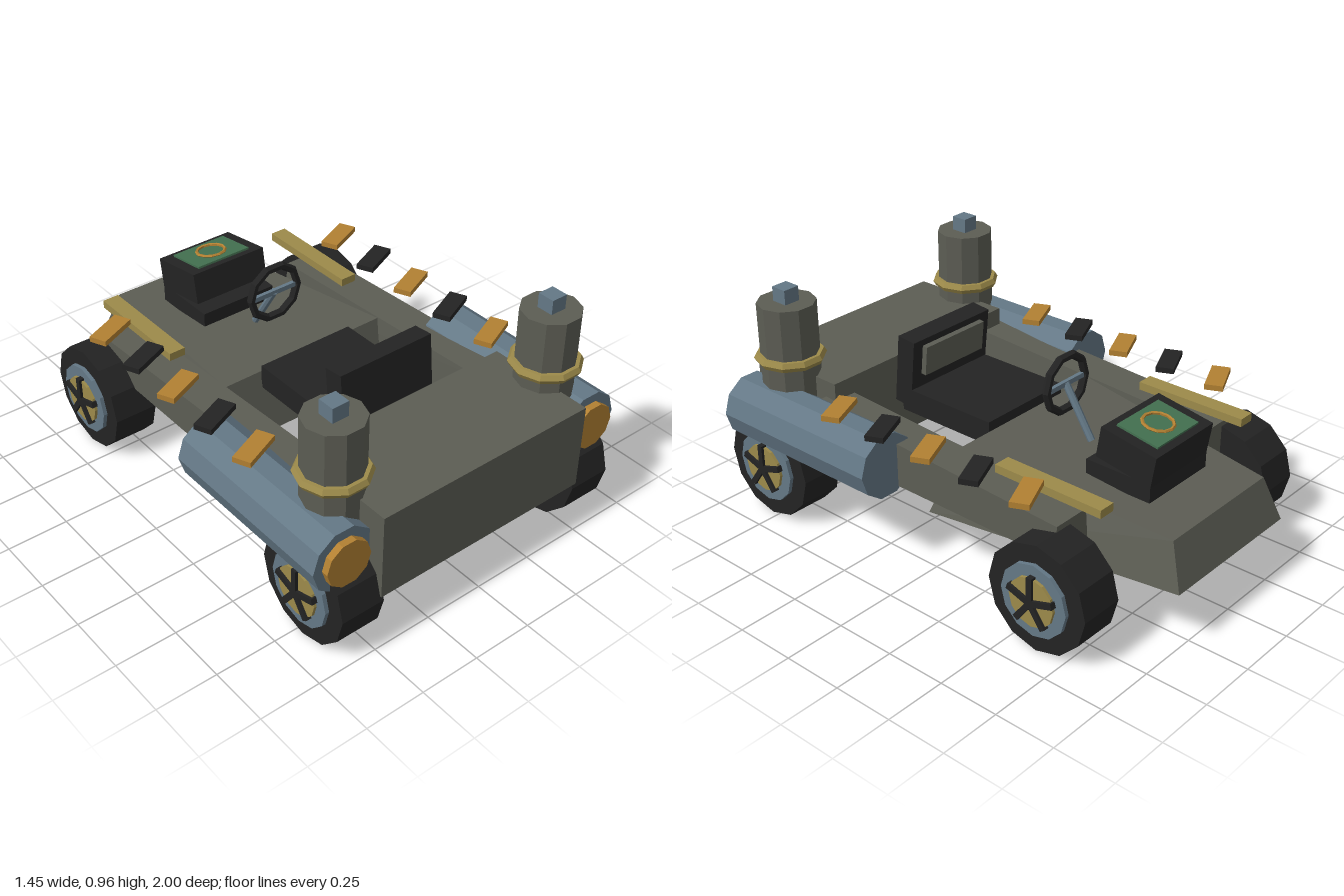
import * as THREE from 'three';

const mat = (name, color) => {
  const m = new THREE.MeshStandardMaterial({ color });
  m.name = name;
  return m;
};

export function createModel() {
  const body = mat('olive grey', 0x5c5d54);
  const black = mat('black', 0x232323);
  const steel = mat('blue steel', 0x647886);
  const gold = mat('dull gold', 0x9c8a4a);
  const copper = mat('copper', 0xb28032);
  const green = mat('screen green', 0x437050);
  const root = new THREE.Group();
  root.name = 'buggy';

  // Faceted mesh helper
  const add = (parent, name, geo, material, x = 0, y = 0, z = 0) => {
    const g = geo.index ? geo.toNonIndexed() : geo;
    g.computeVertexNormals();
    const mesh = new THREE.Mesh(g, material);
    mesh.name = name;
    mesh.position.set(x, y, z);
    parent.add(mesh);
    return mesh;
  };
  const box = (w, h, d) => new THREE.BoxGeometry(w, h, d);
  const group = (name, x = 0, y = 0, z = 0) => {
    const g = new THREE.Group();
    g.name = name;
    g.position.set(x, y, z);
    root.add(g);
    return g;
  };
  // Box whose eight corners are moved by a rule
  const shaped = (rule) => {
    const g = box(2, 2, 2);
    const p = g.attributes.position;
    for (let i = 0; i < p.count; i++) {
      p.setXYZ(i, ...rule(p.getX(i), p.getY(i) > 0, p.getZ(i) > 0));
    }
    return g;
  };
  // Ten-sided cylinder with corners on the x axis
  const drum = (r, h) => new THREE.CylinderGeometry(r, r, h, 10, 1, false, Math.PI / 2);

  // Hull: wedge deck and engine block
  add(root, 'wedgeDeck', shaped((sx, top, rear) => {
    const half = top ? (rear ? 0.38 : 0.285) : (rear ? 0.5 : 0.327);
    const y = top ? (rear ? 0.487 : 0.41) : 0.235;
    const z = rear ? (top ? -0.03 : 0.03) : (top ? -0.935 : -1);
    return [sx * half, y, z];
  }), body);
  add(root, 'engineBlock', box(0.96, 0.355, 0.455), body, 0, 0.4175, 0.7725);

  for (const s of [1, -1]) {
    // Side rail, top falling towards the wedge
    add(root, 'sideRail', shaped((sx, top, rear) => {
      const outer = sx === s;
      return [s * (outer ? 0.54 : top ? 0.38 : 0.367),
        top ? (rear ? 0.525 : 0.46) : 0.32, rear ? 0.6 : -0.625];
    }), body);
    add(root, 'goldStrip', box(0.07, 0.033, 0.48), gold, s * 0.43, 0.527, -0.515);

    // Side pod with end cap
    add(root, 'sidePod', drum(0.133, 0.78), steel, s * 0.59, 0.43, 0.54).rotation.x = Math.PI / 2;
    add(root, 'podCap', drum(0.095, 0.03), copper, s * 0.59, 0.43, 0.943).rotation.x = Math.PI / 2;

    // Exhaust stack
    const stack = group('stack', s * 0.505, 0, 0.765);
    add(stack, 'stackBarrel', drum(0.117, 0.4), body, 0, 0.696, 0);
    add(stack, 'stackTip', box(0.07, 0.07, 0.07), steel, 0, 0.921, 0);
    add(stack, 'stackRing', new THREE.TorusGeometry(0.121, 0.022, 6, 10), gold, 0, 0.667, 0)
      .rotation.x = Math.PI / 2;

    // Row of slanted plates in alternating colours
    for (let i = 0; i < 5; i++) {
      add(root, 'slantedPlate', box(0.175, 0.023, 0.074), i % 2 ? black : copper,
        s * 0.577, 0.571, -0.52 + i * 0.234).rotation.y = 0.42;
    }

    // Wheels
    for (const z of [0.78, -0.625]) {
      const wheel = group('wheel', s * 0.558, 0.219, z);
      const disc = (name, r, w, x, m) => {
        add(wheel, name, new THREE.CylinderGeometry(r, r, w, 12), m, s * x, 0, 0)
          .rotation.z = Math.PI / 2;
      };
      disc('tyre', 0.219, 0.183, 0, black);
      disc('rim', 0.147, 0.04, 0.088, steel);
      disc('hubDisc', 0.1, 0.04, 0.1, gold);
      for (let k = 0; k < 5; k++) {
        const a = (k * Math.PI * 2) / 5;
        add(wheel, 'spoke', box(0.025, 0.105, 0.024), black,
          s * 0.119, Math.cos(a) * 0.053, Math.sin(a) * 0.053).rotation.x = a;
      }
    }
  }

  // Seat
  const seat = group('seat');
  add(seat, 'seatBase', box(0.432, 0.1, 0.46), black, 0, 0.47, 0.21);
  const back = add(seat, 'seatBack', box(0.432, 0.29, 0.085), black, 0, 0.59, 0.425);
  back.rotation.x = -0.1;
  add(back, 'backPad', box(0.33, 0.125, 0.025), body, 0, 0.055, -0.053);

  // Steering wheel and column
  const steering = group('steering', 0, 0.672, -0.218);
  add(steering, 'steeringRing', new THREE.TorusGeometry(0.114, 0.017, 6, 10), black);
  add(steering, 'steeringBar', box(0.2, 0.02, 0.016), steel);
  const column = add(steering, 'steeringColumn', new THREE.CylinderGeometry(0.015, 0.015, 0.24, 8),
    steel, 0, -0.1, -0.065);
  column.rotation.x = 0.57;

  // Console with round display
  const consoleUnit = group('console');
  add(consoleUnit, 'consoleBase', box(0.348, 0.075, 0.29), black, 0, 0.472, -0.605);
  const desk = add(consoleUnit, 'consoleDesk', box(0.348, 0.13, 0.25), black, 0, 0.581, -0.637);
  desk.rotation.x = -0.16;
  add(desk, 'screen', box(0.25, 0.009, 0.185), green, 0, 0.069, 0);
  add(desk, 'screenRing', new THREE.TorusGeometry(0.06, 0.007, 5, 12), copper, 0, 0.077, 0)
    .rotation.x = Math.PI / 2;

  return root;
}
